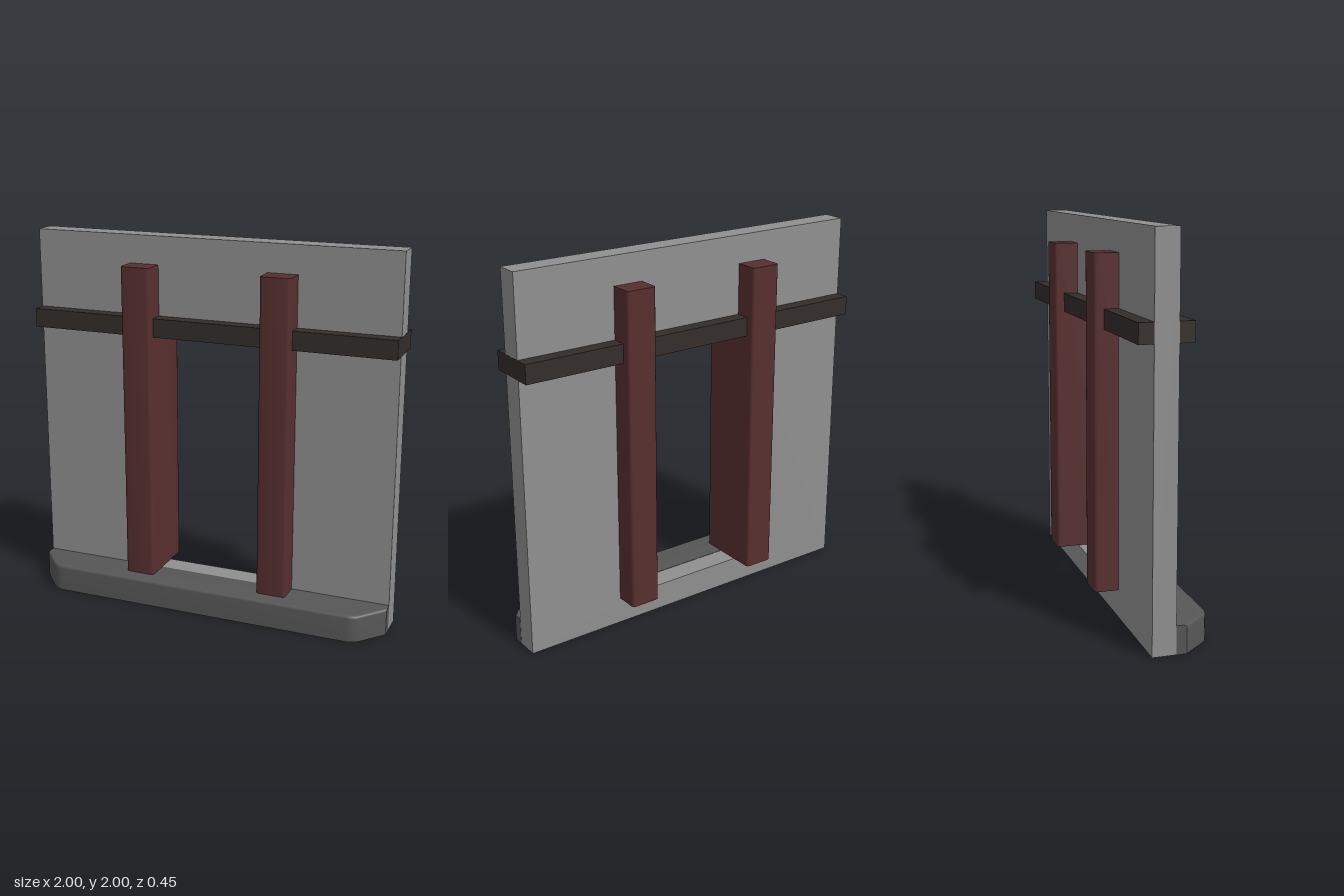
import * as THREE from 'three';
import { toCreasedNormals } from 'three/addons/utils/BufferGeometryUtils.js';

const mat = (color) => new THREE.MeshStandardMaterial({ color });

function add(group, name, geometry, material) {
  const mesh = new THREE.Mesh(geometry, material);
  mesh.name = name;
  group.add(mesh);
  return mesh;
}

// Closed rectangle, used for the wall outline and its doorway
function rect(path, x0, y0, x1, y1) {
  path.moveTo(x0, y0);
  path.lineTo(x1, y0);
  path.lineTo(x1, y1);
  path.lineTo(x0, y1);
  path.closePath();
  return path;
}

// Upright post with softened vertical corners, flat ends
function postGeometry(width, depth, height, r) {
  const w = width / 2, d = depth / 2;
  const s = new THREE.Shape();
  s.moveTo(-w + r, -d);
  s.lineTo(w - r, -d);
  s.quadraticCurveTo(w, -d, w, -d + r);
  s.lineTo(w, d - r);
  s.quadraticCurveTo(w, d, w - r, d);
  s.lineTo(-w + r, d);
  s.quadraticCurveTo(-w, d, -w, d - r);
  s.lineTo(-w, -d + r);
  s.quadraticCurveTo(-w, -d, -w + r, -d);
  const g = new THREE.ExtrudeGeometry(s, { depth: height, bevelEnabled: false, curveSegments: 3 });
  g.rotateX(-Math.PI / 2);
  return toCreasedNormals(g, 0.7);
}

// Plinth: plan outline with slanted ends, stacked in levels that round over the top edge
function plinthGeometry(back, front, height, r) {
  const shoulder = 0.073;
  const corner = new THREE.QuadraticBezierCurve(
    new THREE.Vector2(0.895, 0.192), new THREE.Vector2(0.865, front), new THREE.Vector2(0.82, front));
  const half = [[1, back], [1, shoulder], ...corner.getPoints(4).map((p) => [p.x, p.y])];
  const plan = [...half, ...half.slice().reverse().map(([x, z]) => [-x, z])];
  const levels = [[0, 0]];
  const steps = 5;
  for (let i = 0; i <= steps; i++) {
    const a = (i / steps) * Math.PI / 2;
    levels.push([height - r + r * Math.sin(a), r - r * Math.cos(a)]);
  }
  const n = plan.length, pos = [], idx = [];
  for (const [y, inset] of levels) {
    for (const [x, z] of plan) {
      const t = Math.max(0, (z - shoulder) / (front - shoulder));
      const dz = z > back ? inset * (1.47 - 0.47 * t) : 0;
      pos.push(x - Math.sign(x) * inset * 0.43 * t, y, z - dz);
    }
  }
  for (let l = 0; l < levels.length - 1; l++) {
    for (let i = 0; i < n; i++) {
      const a = l * n + i, b = l * n + (i + 1) % n;
      idx.push(a, a + n, b, b, a + n, b + n);
    }
  }
  // Caps: the plan is convex, so fans are enough
  const top = (levels.length - 1) * n;
  for (let i = 1; i < n - 1; i++) {
    idx.push(0, i, i + 1, top, top + i + 1, top + i);
  }
  const g = new THREE.BufferGeometry();
  g.setAttribute('position', new THREE.Float32BufferAttribute(pos, 3));
  g.setIndex(idx);
  return toCreasedNormals(g, 0.45);
}

export function createModel() {
  const group = new THREE.Group();
  group.name = 'doorwayWall';
  const stone = mat(0x8f8f8f);
  const darkStone = mat(0x565656);
  const redWood = mat(0x582f2f);
  const darkWood = mat(0x332d2a);

  // Wall slab with the doorway cut out
  const outline = rect(new THREE.Shape(), -1, 0, 0.999, 2);
  outline.holes.push(rect(new THREE.Path(), -0.38, 0.143, 0.38, 1.53));
  const wall = new THREE.ExtrudeGeometry(outline, { depth: 0.12, bevelEnabled: false });
  wall.translate(0, 0, -0.1);
  add(group, 'wall', wall, stone);

  // Plinth along the foot of the front
  add(group, 'plinth', plinthGeometry(0.02, 0.225, 0.145, 0.015), darkStone);

  // Lintel beam through the wall, flush with its right end and just proud of its left
  add(group, 'beam', new THREE.BoxGeometry(1.999, 0.1, 0.27), darkWood).position.set(0.0005, 1.53, -0.04);

  // Door posts
  const post = postGeometry(0.162, 0.365, 1.705, 0.018);
  for (const side of [-1, 1]) {
    const name = side > 0 ? 'leftPost' : 'rightPost';
    add(group, name, post, redWood).position.set(side * 0.382, 0.145, -0.042);
  }
  return group;
}
